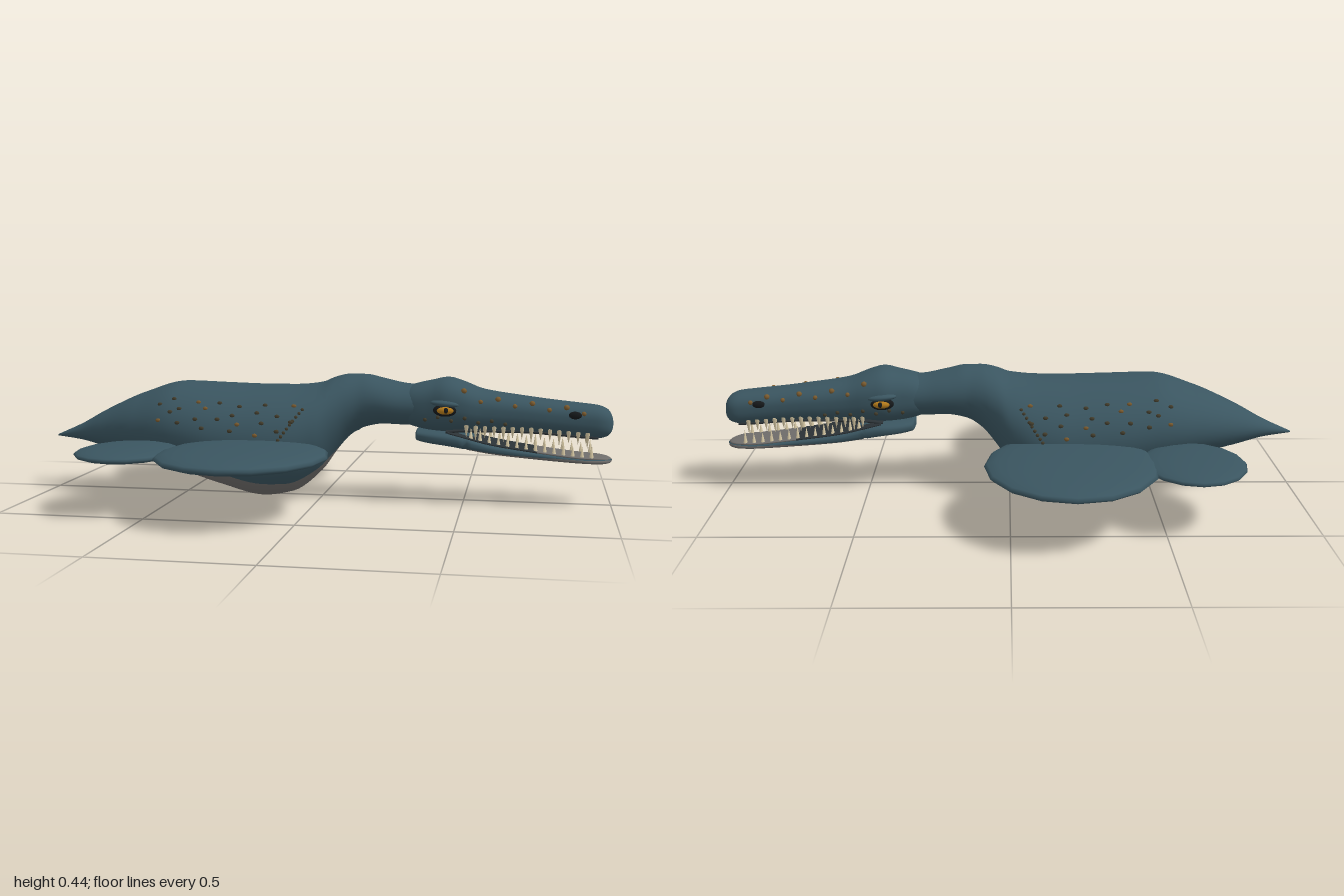
import * as THREE from 'three';

const mat = (name, color) => Object.assign(new THREE.MeshStandardMaterial({ color }), { name });

// Sections are [x, top, bottom, halfWidth]; smooth monotone interpolation along x
function profile(sections) {
  const n = sections.length;
  const slope = (i, k) => (sections[i + 1][k] - sections[i][k]) / (sections[i + 1][0] - sections[i][0]);
  const tangent = (i, k) => {
    if (i === 0) return slope(0, k);
    if (i === n - 1) return slope(n - 2, k);
    const a = slope(i - 1, k), b = slope(i, k);
    return a * b <= 0 ? 0 : (2 * a * b) / (a + b);
  };
  return (x) => {
    let i = 0;
    while (i < n - 2 && x > sections[i + 1][0]) i++;
    const h = sections[i + 1][0] - sections[i][0], t = (x - sections[i][0]) / h;
    return [1, 2, 3].map((k) => {
      const p = sections[i][k], q = sections[i + 1][k];
      return p * (2 * t ** 3 - 3 * t * t + 1) + q * (3 * t * t - 2 * t ** 3)
        + h * (tangent(i, k) * (t ** 3 - 2 * t * t + t) + tangent(i + 1, k) * (t ** 3 - t * t));
    });
  };
}

// Point on the skin; phi is measured from straight down towards +z
function surface(sections, power = 1) {
  const at = profile(sections);
  const bend = (v) => Math.sign(v) * Math.abs(v) ** power;
  return (x, phi) => {
    const [top, bottom, half] = at(x);
    return new THREE.Vector3(x, (top + bottom) / 2 - (top - bottom) / 2 * bend(Math.cos(phi)), half * bend(Math.sin(phi)));
  };
}

// Skin with an underside patch (material 1) of half angle under(x)
function loft(sections, point, steps, under = () => 0.6) {
  const N = 40, pos = [], skin = [], patch = [];
  const x0 = sections[0][0], x1 = sections[sections.length - 1][0];
  const xAt = (i) => x0 + (x1 - x0) * (1 - Math.cos(Math.PI * i / steps)) / 2;
  for (let i = 0; i <= steps; i++) {
    const alpha = Math.max(0.1, under(xAt(i)));
    for (let j = 0; j < N; j++) {
      const u = (j / N) * 2 - 1, m = Math.abs(u);
      const phi = m < 0.3 ? m / 0.3 * alpha : alpha + (m - 0.3) / 0.7 * (Math.PI - alpha);
      pos.push(...point(xAt(i), Math.sign(u) * phi).toArray());
    }
  }
  for (let i = 0; i < steps; i++) for (let j = 0; j < N; j++) {
    const a = i * N + j, c = i * N + (j + 1) % N, b = a + N, d = c + N;
    const below = j >= 14 && j < 26 && under((xAt(i) + xAt(i + 1)) / 2) > 0;
    (below ? patch : skin).push(a, b, c, b, d, c);
  }
  const g = new THREE.BufferGeometry();
  g.setAttribute('position', new THREE.Float32BufferAttribute(pos, 3));
  g.setIndex([...skin, ...patch]);
  g.addGroup(0, skin.length, 0);
  g.addGroup(skin.length, patch.length, 1);
  g.computeVertexNormals();
  return g;
}

export function createModel() {
  const model = new THREE.Group();
  model.name = 'marineReptile';
  const teal = mat('tealSkin', 0x3a5560), grey = mat('greyBelly', 0x6f6d6b);
  const ivory = mat('ivoryTeeth', 0xd6c8a4), gold = mat('goldEye', 0xb87d1c), mouth = mat('darkMouth', 0x2b3236);
  const black = mat('black', 0x16191b), brown = mat('brownScales', 0x7a5a2e), dark = mat('darkSpots', 0x433d2c);

  const add = (name, geometry, material, parent = model) => {
    const m = new THREE.Mesh(geometry, material);
    m.name = name;
    parent.add(m);
    return m;
  };
  const group = (name) => {
    const g = new THREE.Group();
    g.name = name;
    model.add(g);
    return g;
  };
  const ball = new THREE.SphereGeometry(1, 16, 12), bead = new THREE.SphereGeometry(1, 8, 6);
  const blob = (name, geo, material, p, s, parent) => {
    const m = add(name, geo, material, parent);
    m.position.set(...p);
    m.scale.set(...s);
    return m;
  };

  // Body, tail and neck
  const body = [
    [-1, 0.195, 0.19, 0.002], [-0.9, 0.24, 0.178, 0.045], [-0.8, 0.295, 0.155, 0.102], [-0.65, 0.362, 0.122, 0.178],
    [-0.5, 0.403, 0.08, 0.23], [-0.35, 0.399, 0.035, 0.252], [-0.2, 0.396, 0.001, 0.256], [-0.1, 0.397, 0.018, 0.245],
    [0, 0.408, 0.095, 0.203], [0.05, 0.428, 0.165, 0.16], [0.1, 0.438, 0.222, 0.127], [0.15, 0.438, 0.252, 0.11],
    [0.22, 0.424, 0.265, 0.106], [0.3, 0.408, 0.263, 0.096], [0.42, 0.4, 0.265, 0.085],
  ];
  const bodyAt = surface(body);
  const belly = (x) => 0.95 * Math.sqrt(Math.max(0, 1 - ((x + 0.36) / 0.42) ** 2));
  add('body', loft(body, bodyAt, 150, belly), [teal, grey]);

  // Skull with blunt snout
  const skull = [
    [0.27, 0.38, 0.29, 0.06], [0.32, 0.405, 0.262, 0.09], [0.39, 0.422, 0.248, 0.104], [0.44, 0.432, 0.245, 0.117],
    [0.5, 0.416, 0.25, 0.114], [0.56, 0.393, 0.25, 0.102], [0.7, 0.372, 0.25, 0.088], [0.8, 0.36, 0.244, 0.079],
    [0.9, 0.35, 0.236, 0.073], [0.95, 0.344, 0.233, 0.07], [0.98, 0.332, 0.241, 0.058], [0.995, 0.31, 0.258, 0.034],
    [1, 0.286, 0.282, 0.003],
  ];
  const skullAt = surface(skull, 0.8);
  add('skull', loft(skull, skullAt, 50), teal);

  // Lower jaw, its pale underside spreading up the sides towards the tip
  const jaw = [
    [0.33, 0.235, 0.225, 0.003], [0.337, 0.252, 0.213, 0.07], [0.45, 0.25, 0.196, 0.1], [0.6, 0.212, 0.172, 0.09],
    [0.75, 0.189, 0.158, 0.08], [0.9, 0.172, 0.149, 0.077], [0.96, 0.169, 0.147, 0.062], [0.99, 0.165, 0.15, 0.035],
    [1, 0.16, 0.157, 0.003],
  ];
  const jawAt = surface(jaw, 0.7);
  add('lowerJaw', loft(jaw, jawAt, 60, (x) => (x > 0.5 ? 1 + (x - 0.5) * 2 : 0)), [teal, grey]);

  // Mouth lining, dark inside and pale at the tip
  const lining = (from, to) => jaw.filter((s) => s[0] >= from && s[0] <= to)
    .map(([x, t, , w]) => [x - 0.003, t + 0.004, t - 0.008, w * 0.93]);
  const innerFloor = lining(0.45, 0.75), tipFloor = lining(0.75, 1);
  add('innerMouthFloor', loft(innerFloor, surface(innerFloor, 0.7), 16), mouth);
  add('tipMouthFloor', loft(tipFloor, surface(tipFloor, 0.7), 20), grey);
  const palate = skull.filter((s) => s[0] >= 0.44 && s[0] <= 0.95).map(([x, , b, w]) => [x, b + 0.012, b - 0.003, w * 0.7]);
  add('palate', loft(palate, surface(palate, 0.7), 20), mouth);

  const toothGeo = new THREE.ConeGeometry(1, 1, 7);
  for (const side of [1, -1]) {
    const label = side > 0 ? 'left' : 'right';

    // Rounded paddle fins
    blob(label + 'FrontFin', ball, teal, [-0.2, 0.197, side * 0.38], [0.285, 0.036, 0.325]);
    blob(label + 'RearFin', ball, teal, [-0.6, 0.195, side * 0.355], [0.172, 0.025, 0.207]);

    // Eye: socket, iris, pupil and brow
    const eye = group(label + 'Eye');
    blob('socket', ball, black, [0.44, 0.328, side * 0.108], [0.042, 0.022, 0.017], eye);
    blob('iris', ball, gold, [0.44, 0.328, side * 0.113], [0.032, 0.015, 0.017], eye);
    blob('pupil', ball, black, [0.443, 0.329, side * 0.126], [0.008, 0.01, 0.006], eye);
    blob('brow', ball, teal, [0.44, 0.35, side * 0.105], [0.052, 0.012, 0.022], eye).rotation.z = -0.08;

    // Nostril
    blob(label + 'Nostril', ball, black, skullAt(0.87, side * 1.85).toArray(), [0.022, 0.013, 0.008]);

    // Teeth of both jaws, alternating
    const teeth = group(label + 'Teeth');
    for (let i = 0; i < 14; i++) {
      const x = 0.51 + i * 0.031, h = i % 3 === 1 ? 0.056 : 0.044;
      const up = skullAt(x, side * 0.8), low = jawAt(x + 0.015, side * 2.3);
      const upper = blob('upperTooth', toothGeo, ivory, [x, up.y - h / 2 + 0.008, up.z], [0.0095, h, 0.0095], teeth);
      upper.rotation.z = Math.PI;
      blob('lowerTooth', toothGeo, ivory, [x + 0.015, low.y + h * 0.42, low.z * 0.95], [0.0085, h, 0.0085], teeth);
    }

    // Knobbly scales along the snout and cheek
    const scales = group(label + 'HeadScales');
    for (let i = 0; i < 8; i++) {
      const r = i % 2 ? 0.008 : 0.01;
      blob('scale', bead, brown, skullAt(0.5 + i * 0.057, side * (i % 2 ? 2 : 2.3)).toArray(), [r, r, r], scales);
    }
    for (let i = 0; i < 7; i++) {
      const p = skullAt(0.37 + i * 0.045, side * (1.15 + 0.14 * (i % 2)));
      blob('cheekScale', bead, dark, p.toArray(), [0.007, 0.007, 0.006], scales);
    }

    // Spots on the flank and a slanting row at the shoulder
    const spots = group(label + 'FlankSpots');
    for (let row = 0; row < 4; row++) for (let i = 0; i < 6; i++) {
      const x = -0.54 + i * 0.085 + (row % 2) * 0.04 + 0.012 * Math.sin(i * 5 + row * 3);
      const p = bodyAt(x, side * (1.83 + row * 0.17 + 0.04 * Math.sin(i * 3 + row)));
      blob('spot', bead, (i + row) % 4 ? dark : brown, p.toArray(), [0.009, 0.007, 0.005], spots);
    }
    for (let i = 0; i < 9; i++) {
      const p = bodyAt(-0.11 + i * 0.009, side * (1.7 + i * 0.06));
      blob('shoulderSpot', bead, dark, p.toArray(), [0.006, 0.006, 0.004], spots);
    }
  }
  return model;
}
